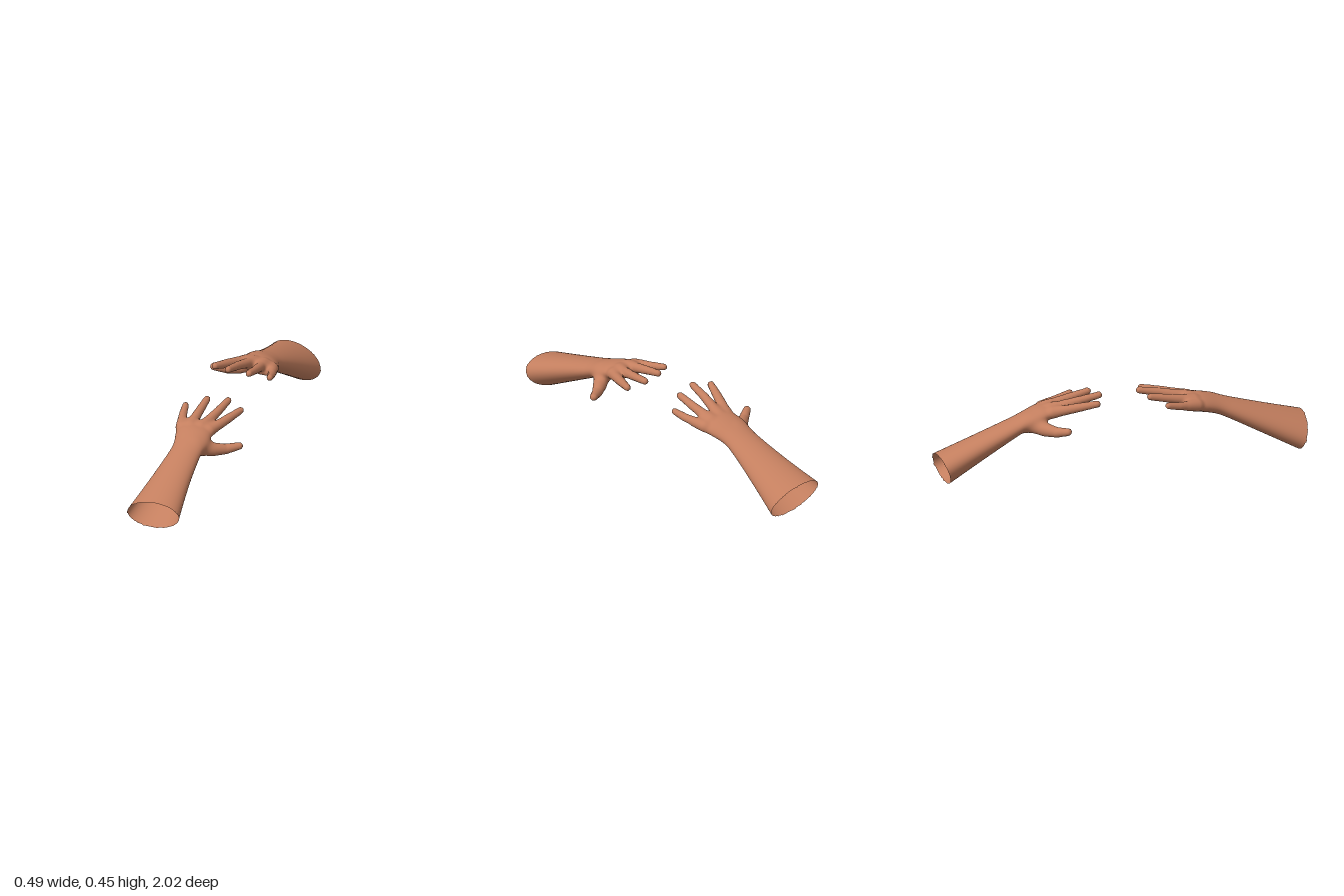
import * as THREE from 'three';

// Section planes lean with the arm: w is the position along it.
const PIVOT = new THREE.Vector3(-0.1, 0.085, 0.965);
const lean = (x, y) => 0.17 * (x - PIVOT.x) + 0.36 * (y - PIVOT.y);

// Arm and palm sections: w, centre x, centre y, half width, half height, skew
const SECTIONS = [
  [0.16, -0.045, 0.338, 0.096, 0.024, 0],
  [0.263, -0.045, 0.326, 0.098, 0.034, 0],
  [0.339, -0.041, 0.31, 0.095, 0.042, 0],
  [0.44, -0.04, 0.281, 0.083, 0.042, 0],
  [0.51, -0.047, 0.256, 0.083, 0.045, 0],
  [0.735, -0.074, 0.172, 0.109, 0.063, 0.06],
  [0.99, -0.102, 0.077, 0.149, 0.084, 0.1],
];
const PALM_END = 0.232;

// Finger joints: x, y, z, radius
const FINGERS = [
  [[-0.118, 0.325, 0.38, 0.026], [-0.14, 0.346, 0.27, 0.021], [-0.147, 0.363, 0.203, 0.017]],
  [[-0.07, 0.335, 0.38, 0.028], [-0.058, 0.366, 0.24, 0.022], [-0.048, 0.386, 0.149, 0.018]],
  [[-0.01, 0.335, 0.38, 0.028], [0.035, 0.366, 0.24, 0.022], [0.06, 0.386, 0.137, 0.018]],
  [[0.036, 0.325, 0.385, 0.028], [0.1, 0.348, 0.265, 0.023], [0.14, 0.362, 0.185, 0.018]],
  [[-0.005, 0.272, 0.5, 0.04], [0.07, 0.25, 0.448, 0.035], [0.125, 0.243, 0.413, 0.027], [0.188, 0.253, 0.378, 0.02]],
];

// Smooth interpolation between the sections
function sectionAt(w) {
  const S = SECTIONS, last = S.length - 1;
  const t = Math.min(Math.max(w, S[0][0]), S[last][0]);
  let i = 0;
  while (i < last - 1 && t > S[i + 1][0]) i++;
  const a = S[i], b = S[i + 1], p = S[Math.max(i - 1, 0)], n = S[Math.min(i + 2, last)];
  const h = b[0] - a[0], u = (t - a[0]) / h, u2 = u * u, u3 = u2 * u;
  return [1, 2, 3, 4, 5].map((k) => {
    const ma = (b[k] - p[k]) / (b[0] - p[0]), mb = (n[k] - a[k]) / (n[0] - a[0]);
    return (2 * u3 - 3 * u2 + 1) * a[k] + (u3 - 2 * u2 + u) * h * ma
      + (3 * u2 - 2 * u3) * b[k] + (u3 - u2) * h * mb;
  });
}

function smoothMin(a, b, k) {
  const h = Math.max(k - Math.abs(a - b), 0) / k;
  return Math.min(a, b) - h * h * k / 4;
}

function armDistance(x, y, z) {
  const w = z - lean(x, y);
  const [cx, cy, rx, ry, skew] = sectionAt(w);
  const dx = x - cx, dy = y - cy - skew * dx;
  const q = Math.hypot(dx / rx, dy / ry);
  const g = Math.hypot(dx / (rx * rx), dy / (ry * ry));
  const d = g < 1e-6 ? -ry : q * (q - 1) / g;
  return -smoothMin(-d, -(PALM_END - w), 0.03);
}

// Tapered capsule between two joints
function segmentDistance(x, y, z, a, b) {
  const ex = b[0] - a[0], ey = b[1] - a[1], ez = b[2] - a[2];
  const px = x - a[0], py = y - a[1], pz = z - a[2];
  let t = (px * ex + py * ey + pz * ez) / (ex * ex + ey * ey + ez * ez);
  t = Math.min(Math.max(t, 0), 1);
  return Math.hypot(px - t * ex, py - t * ey, pz - t * ez) - (a[3] + t * (b[3] - a[3]));
}

function handDistance(x, y, z) {
  let d = armDistance(x, y, z);
  for (const joints of FINGERS) {
    let f = Infinity;
    for (let i = 0; i + 1 < joints.length; i++) {
      f = Math.min(f, segmentDistance(x, y, z, joints[i], joints[i + 1]));
    }
    d = smoothMin(d, f, joints.length > 3 ? 0.035 : 0.022);
  }
  return d;
}

// Skin drawn over the blended shape on a leaning grid; it stays open at the elbow end
function handGeometry() {
  const step = 0.009, N = [60, 56, 118];
  const start = [-0.29, -0.04, PIVOT.z + step / 2 - (N[2] - 1) * step];
  const stride = [1, N[0], N[0] * N[1]];
  const total = N[0] * N[1] * N[2];
  const toWorld = (i, j, k) => {
    const x = start[0] + i * step, y = start[1] + j * step;
    return [x, y, start[2] + k * step + lean(x, y)];
  };
  const field = new Float32Array(total);
  for (let k = 0, n = 0; k < N[2]; k++)
    for (let j = 0; j < N[1]; j++)
      for (let i = 0; i < N[0]; i++, n++) field[n] = handDistance(...toWorld(i, j, k));

  // One point in each cell that the surface crosses
  const cell = new Int32Array(total).fill(-1);
  const positions = [], normals = [], index = [];
  for (let k = 0; k < N[2] - 1; k++)
    for (let j = 0; j < N[1] - 1; j++)
      for (let i = 0; i < N[0] - 1; i++) {
        const n = i + j * stride[1] + k * stride[2];
        const sum = [0, 0, 0];
        let count = 0;
        for (let c = 0; c < 8; c++)
          for (let a = 0; a < 3; a++) {
            if (c >> a & 1) continue;
            const bits = [c & 1, c >> 1 & 1, c >> 2 & 1];
            const m = n + bits[0] + bits[1] * stride[1] + bits[2] * stride[2];
            const f0 = field[m], f1 = field[m + stride[a]];
            if ((f0 < 0) === (f1 < 0)) continue;
            bits[a] = f0 / (f0 - f1);
            for (let b = 0; b < 3; b++) sum[b] += bits[b];
            count++;
          }
        if (!count) continue;
        const p = toWorld(i + sum[0] / count, j + sum[1] / count, k + sum[2] / count);
        const e = 0.003;
        const g = new THREE.Vector3(
          handDistance(p[0] + e, p[1], p[2]) - handDistance(p[0] - e, p[1], p[2]),
          handDistance(p[0], p[1] + e, p[2]) - handDistance(p[0], p[1] - e, p[2]),
          handDistance(p[0], p[1], p[2] + e) - handDistance(p[0], p[1], p[2] - e)).normalize();
        cell[n] = positions.length / 3;
        positions.push(...p);
        normals.push(g.x, g.y, g.z);
      }

  // One quad around each crossed grid edge, facing outwards
  for (let k = 1; k < N[2] - 1; k++)
    for (let j = 1; j < N[1] - 1; j++)
      for (let i = 1; i < N[0] - 1; i++) {
        const n = i + j * stride[1] + k * stride[2];
        for (let a = 0; a < 3; a++) {
          const inside = field[n] < 0;
          if (inside === (field[n + stride[a]] < 0)) continue;
          const b = stride[(a + 1) % 3], c = stride[(a + 2) % 3];
          const q = [cell[n - b - c], cell[n - c], cell[n], cell[n - b]];
          if (q.some((v) => v < 0)) continue;
          if (!inside) q.reverse();
          index.push(q[0], q[1], q[2], q[0], q[2], q[3]);
        }
      }

  const geometry = new THREE.BufferGeometry();
  geometry.setAttribute('position', new THREE.Float32BufferAttribute(positions, 3));
  geometry.setAttribute('normal', new THREE.Float32BufferAttribute(normals, 3));
  geometry.setIndex(index);
  return geometry.translate(-PIVOT.x, -PIVOT.y, -PIVOT.z);
}

export function createModel() {
  const skin = new THREE.MeshStandardMaterial({ color: 0xc47f5f, side: THREE.DoubleSide });
  skin.name = 'skin';
  const geometry = handGeometry();
  const model = new THREE.Group();
  model.name = 'pairOfHands';

  // Front hand
  const frontHand = new THREE.Mesh(geometry, skin);
  frontHand.name = 'frontHandAndForearm';
  frontHand.position.copy(PIVOT);
  model.add(frontHand);

  // Back hand: turned around, slightly higher and rolled
  const turned = new THREE.Group();
  turned.name = 'backArm';
  turned.rotation.y = Math.PI;
  const backHand = new THREE.Mesh(geometry, skin);
  backHand.name = 'backHandAndForearm';
  backHand.position.copy(PIVOT);
  backHand.position.y += 0.05;
  backHand.rotation.set(-0.025, 0, 0.14);
  turned.add(backHand);
  model.add(turned);
  return model;
}
